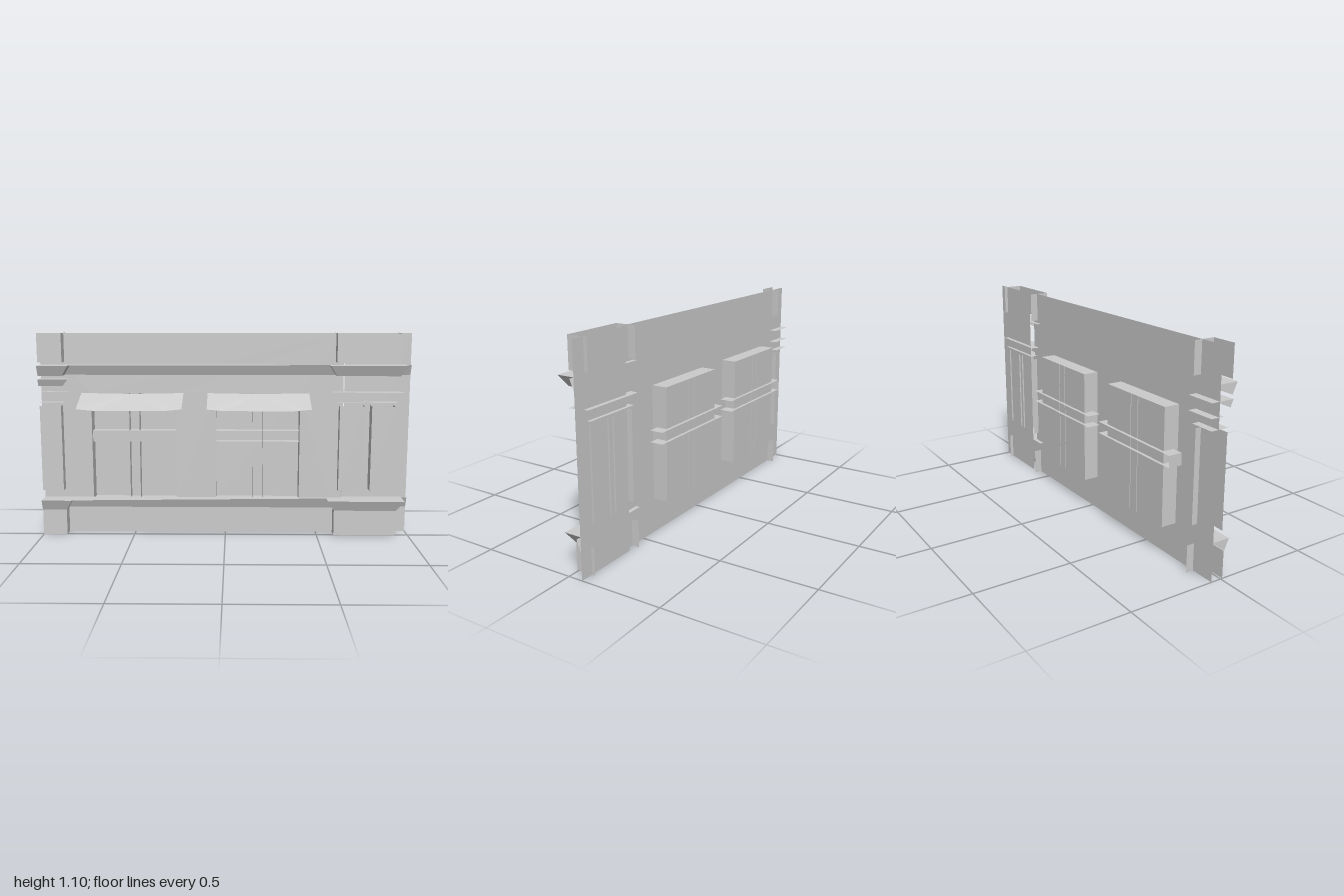
import * as THREE from 'three';

const material = new THREE.MeshStandardMaterial({ color: 0xcccccc, side: THREE.DoubleSide, flatShading: true });

export function createModel() {
  const group = new THREE.Group();

  const add = (name, geometry) => {
    const mesh = new THREE.Mesh(geometry, material);
    mesh.name = name;
    group.add(mesh);
    return mesh;
  };

  // Sheets made of polygons, each fanned from its first corner
  const sheets = (name, polygons) => {
    const pos = [];
    for (const p of polygons)
      for (let i = 1; i < p.length - 1; i++) pos.push(...p[0], ...p[i], ...p[i + 1]);
    const g = new THREE.BufferGeometry();
    g.setAttribute('position', new THREE.Float32BufferAttribute(pos, 3));
    g.computeVertexNormals();
    return add(name, g);
  };
  const faceZ = (x0, x1, y0, y1, z) => [[x0, y0, z], [x1, y0, z], [x1, y1, z], [x0, y1, z]];
  const faceX = (x, y0, y1, z0, z1) => [[x, y0, z0], [x, y0, z1], [x, y1, z1], [x, y1, z0]];
  const faceY = (x0, x1, y, z0, z1) => [[x0, y, z1], [x1, y, z1], [x1, y, z0], [x0, y, z0]];

  const WALL = -0.055, SIDE_WALL = -0.077;
  const windows = [[-0.73, -0.27], [-0.05, 0.405]];
  const sill = 0.185, head = 0.775, back = -0.136;

  // Main wall with two window openings, and the narrow wall beside it
  const wall = new THREE.Shape();
  wall.moveTo(-1, 0).lineTo(0.637, 0).lineTo(0.637, 1.1).lineTo(-1, 1.1).closePath();
  for (const [a, b] of windows) {
    const hole = new THREE.Path();
    hole.moveTo(a, sill).lineTo(a, head).lineTo(b, head).lineTo(b, sill).closePath();
    wall.holes.push(hole);
  }
  add('mainWall', new THREE.ShapeGeometry(wall)).position.z = WALL;
  sheets('sideWall', [faceZ(0.645, 1, 0, 1.1, SIDE_WALL)]);

  // Recessed windows, their bars and awnings
  windows.forEach(([a, b], i) => {
    const mid = (a + b) / 2;
    sheets('windowRecess', [
      faceZ(a, b, sill, head, back),
      faceX(a, sill, head, back, WALL), faceX(b, sill, head, back, WALL),
      faceY(a, b, sill, back, WALL), faceY(a, b, head, back, WALL),
    ]);
    sheets('uprightBars', [-0.028, 0.028].map(d => faceX(mid + d, sill, head, back - 0.003, -0.08)));
    const l = a - 0.06, r = b + 0.06;
    const bars = [0.505, 0.565].map(y => faceY(l, r, y, -0.152, -0.08));
    if (i === 0) bars.push(faceZ(l, r, 0.505, 0.565, -0.08), faceX(l, 0.505, 0.565, -0.152, -0.08));
    sheets('crossBars', bars);

    const aw0 = a - 0.045, aw1 = b + 0.045;
    sheets('awning', [[
      [mid, 0.775, -0.02], [aw0, 0.78, -0.02], [aw0, 0.713, 0.143], [mid - 0.18, 0.705, 0.146],
      [mid + 0.18, 0.705, 0.146], [aw1, 0.713, 0.143], [aw1, 0.78, -0.02],
    ]]);
  });

  // Pier blocks at foot and top: a front sheet with side returns passing through the wall
  for (const [y0, y1] of [[0, 0.14], [0.945, 1.1]]) {
    sheets('leftPierBlock', [faceZ(-1, -0.87, y0, y1, 0.01), faceX(-0.87, y0, y1, -0.095, 0.01)]);
    sheets('rightPierBlock', [
      faceZ(0.593, 0.93, y0, y1, 0.01),
      faceX(0.593, y0, y1, -0.095, 0.01), faceX(0.93, y0, y1, -0.095, 0.01),
    ]);
  }

  // Pilaster shafts
  for (const [a, b] of [[-1, -0.885], [0.615, 0.75], [0.787, 0.912]]) {
    const parts = [faceZ(a, b, 0.245, 0.71, -0.005), faceX(b, 0.245, 0.71, -0.085, -0.005)];
    if (a > 0) parts.push(faceX(a, 0.245, 0.71, -0.085, -0.005));
    sheets('pilasterShaft', parts);
  }

  // Sloped ledges that step out around the piers: plan points [x, z] at the bottom and top edge
  const lower = [[-1, 0.013], [-0.87, 0.013], [-0.87, -0.054], [0.593, -0.054], [0.593, 0.013], [0.93, 0.013], [0.93, SIDE_WALL], [1, SIDE_WALL]];
  const upper = [[-1, 0.038], [-0.835, 0.038], [-0.835, -0.03], [0.557, -0.03], [0.557, 0.038], [0.972, 0.038], [0.972, -0.054], [1, -0.054]];
  for (const [name, y0, y1] of [['baseLedge', 0.14, 0.197], ['cornice', 0.875, 0.93]]) {
    const parts = [];
    for (let i = 0; i < lower.length - 1; i++) {
      const p = [lower[i], lower[i + 1]], q = [upper[i + 1], upper[i]];
      parts.push([...p.map(([x, z]) => [x, y0, z]), ...q.map(([x, z]) => [x, y1, z])]);
    }
    // Top caps, the middle one tapering along the wall
    parts.push(
      faceY(-1, -0.835, y1, WALL, 0.038),
      [[-0.835, y1, 0.03], [0.557, y1, -0.03], [0.557, y1, WALL], [-0.835, y1, WALL]],
      faceY(0.557, 0.972, y1, SIDE_WALL, 0.038),
    );
    sheets(name, parts);
  }

  // Pier neck mouldings
  sheets('leftNeckPlates', [
    faceY(-1, -0.845, 0.785, -0.098, -0.03), faceY(-1, -0.87, 0.73, -0.095, 0),
    faceY(-1, -0.845, 0.855, -0.098, 0.02),
    [[-1, 0.82, 0.005], [-0.87, 0.82, 0.005], [-0.84, 0.855, 0.02], [-1, 0.855, 0.02]],
  ]);
  sheets('rightNeckPlates', [
    [[0.575, 0.785, -0.005], [0.96, 0.785, -0.005], [0.94, 0.785, -0.1], [0.587, 0.785, -0.1]],
    faceY(0.61, 0.925, 0.73, -0.095, -0.04),
    faceY(0.61, 0.75, 0.73, -0.04, 0), faceY(0.785, 0.925, 0.73, -0.04, 0),
    faceZ(0.615, 0.745, 0.73, 0.785, -0.02),
  ]);

  return group;
}
